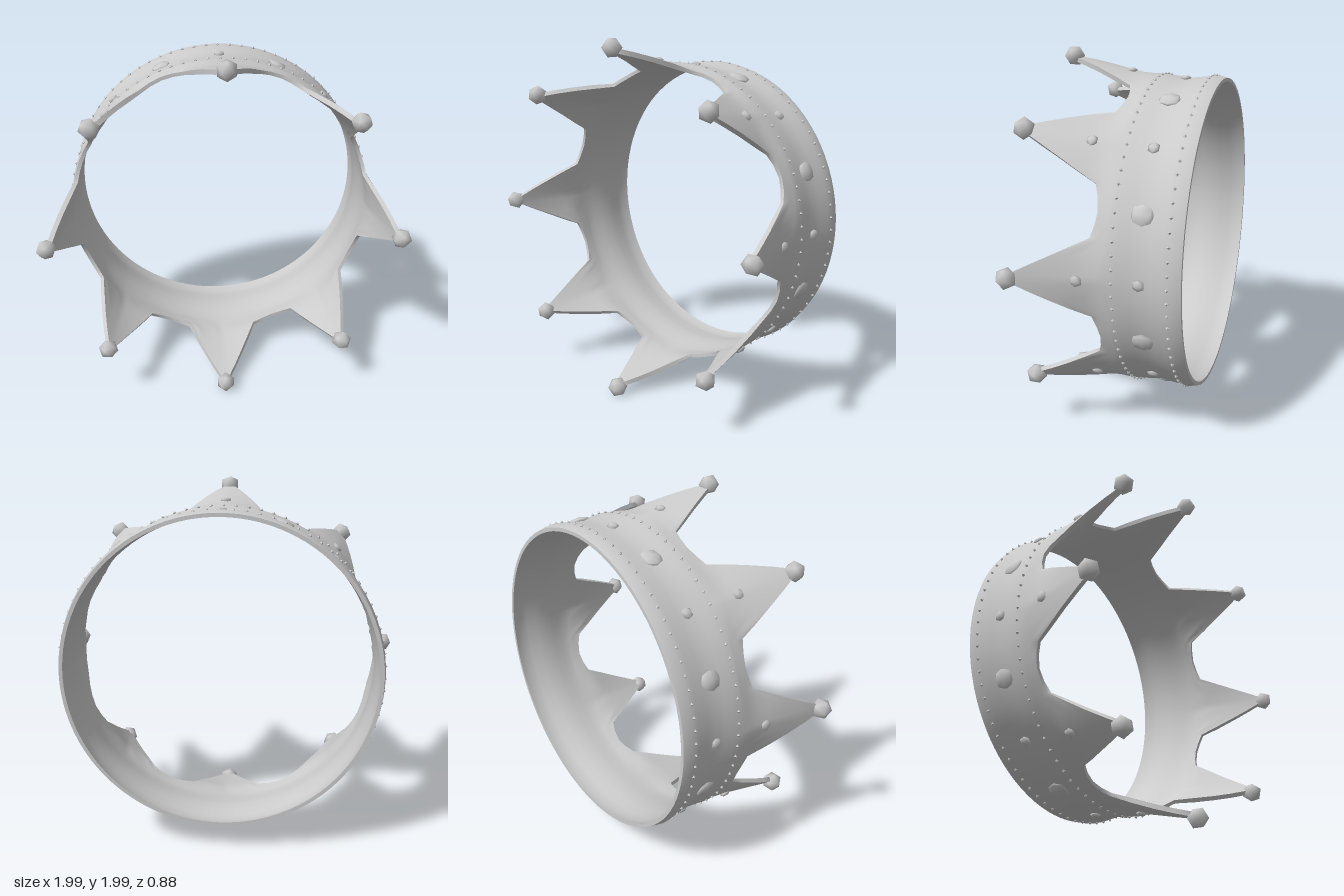
import * as THREE from 'three';
import { toCreasedNormals, mergeVertices } from 'three/addons/utils/BufferGeometryUtils.js';

const POINTS = 8, DEG = Math.PI / 180;

// Linear interpolation through a list of [x, y] pairs
function along(list, x) {
  for (let i = 1; i < list.length; i++) {
    const [x0, y0] = list[i - 1], [x1, y1] = list[i];
    if (x <= x1) return y0 + (y1 - y0) * Math.max(0, (x - x0) / (x1 - x0));
  }
  return list[list.length - 1][1];
}

// Band radius against z, flaring out along the spikes
const RADIUS = [[-0.45, 0.85], [-0.4, 0.862], [-0.36, 0.856], [-0.25, 0.843],
  [-0.14, 0.856], [-0.1, 0.86], [0, 0.85], [0.38, 0.945]];
// Front edge of the band against the angle from the nearest spike
const EDGE = [[0, 0.38], [1.4, 0.37], [7.5, 0.18], [13.8, 0.0], [18, -0.02], [22.5, -0.03]];

function outerRadius(z, u) {
  const ridge = Math.max(0, 1 - u / 14) * 0.017;
  const fade = z < 0 ? Math.max(0, 1 + z / 0.12) : Math.max(0, 1 - z / 0.38);
  return along(RADIUS, z) + ridge * fade;
}

// Closed shell: each column runs up the outside, over the edge and back down the inside
function bandGeometry() {
  const half = [0, 1.4, 4, 7, 10.5, 13.8, 18];
  const offsets = [-22.5, ...half.slice(1).reverse().map(a => -a), ...half];
  const columns = [];
  for (let p = 0; p < POINTS; p++) {
    for (const o of offsets) {
      const u = Math.abs(o), top = along(EDGE, u), a = (p * 45 + o) * DEG;
      const zs = [-0.45, -0.4, -0.36, -0.3, -0.25, -0.19, -0.14];
      for (let i = 0; i <= 7; i++) zs.push(-0.1 + (top + 0.1) * i / 7);
      const outer = zs.map(z => [outerRadius(z, u), z]);
      const inner = zs.map(z => [outerRadius(z, u) - (z > 0 ? 0.026 : 0.02), z]).reverse();
      columns.push([...outer, ...inner].map(([r, z]) => [r * Math.cos(a), r * Math.sin(a), z]));
    }
  }
  const rows = columns[0].length, n = columns.length, index = [];
  for (let i = 0; i < n; i++) {
    for (let k = 0; k < rows; k++) {
      const a = i * rows + k, b = ((i + 1) % n) * rows + k;
      const c = i * rows + (k + 1) % rows, d = ((i + 1) % n) * rows + (k + 1) % rows;
      index.push(a, b, c, b, d, c);
    }
  }
  const g = new THREE.BufferGeometry();
  g.setAttribute('position', new THREE.Float32BufferAttribute(columns.flat(2), 3));
  g.setIndex(index);
  return toCreasedNormals(g, 45 * DEG);
}

// Icosahedron with smooth normals
function smoothBead(radius) {
  const g = new THREE.IcosahedronGeometry(radius, 0);
  g.deleteAttribute('normal');
  g.deleteAttribute('uv');
  const m = mergeVertices(g);
  m.computeVertexNormals();
  return m;
}

export function createModel() {
  const model = new THREE.Group();
  const crown = new THREE.Group();
  crown.name = 'crown';
  crown.position.y = 1;
  model.add(crown);
  const material = new THREE.MeshStandardMaterial({ color: 0xcccccc, side: THREE.DoubleSide });

  const band = new THREE.Mesh(bandGeometry(), material);
  band.name = 'bandWithSpikes';
  crown.add(band);

  // Repeats a part around the ring, its local x pointing outwards
  function ring(name, geometry, count, startDeg, radius, z) {
    const group = new THREE.Group();
    group.name = name;
    for (let i = 0; i < count; i++) {
      const a = startDeg * DEG + i * 2 * Math.PI / count;
      const mesh = new THREE.Mesh(geometry, material);
      mesh.name = name + i;
      mesh.position.set(radius * Math.cos(a), radius * Math.sin(a), z);
      mesh.rotation.z = a;
      group.add(mesh);
    }
    crown.add(group);
  }

  // Balls on the spike tips
  ring('tipBall', smoothBead(0.056), POINTS, 0, 0.946, 0.385);

  // Flattened faceted gems on the band and spikes
  const largeGem = new THREE.SphereGeometry(0.058, 6, 4).rotateX(Math.PI / 2).scale(0.35, 1, 1);
  const smallGem = smoothBead(0.032).scale(0.5, 1, 1);
  ring('largeGem', largeGem, POINTS, 22.5, 0.846, -0.245);
  ring('smallGem', smallGem, POINTS, 0, 0.848, -0.245);
  ring('spikeGem', smallGem, POINTS, 0, 0.879, 0.055);

  // Two rows of tiny studs edging the band
  const stud = new THREE.OctahedronGeometry(0.01, 0);
  ring('frontStud', stud, 80, 0, 0.862, -0.115);
  ring('backStud', stud, 80, 0, 0.862, -0.385);
  return model;
}
